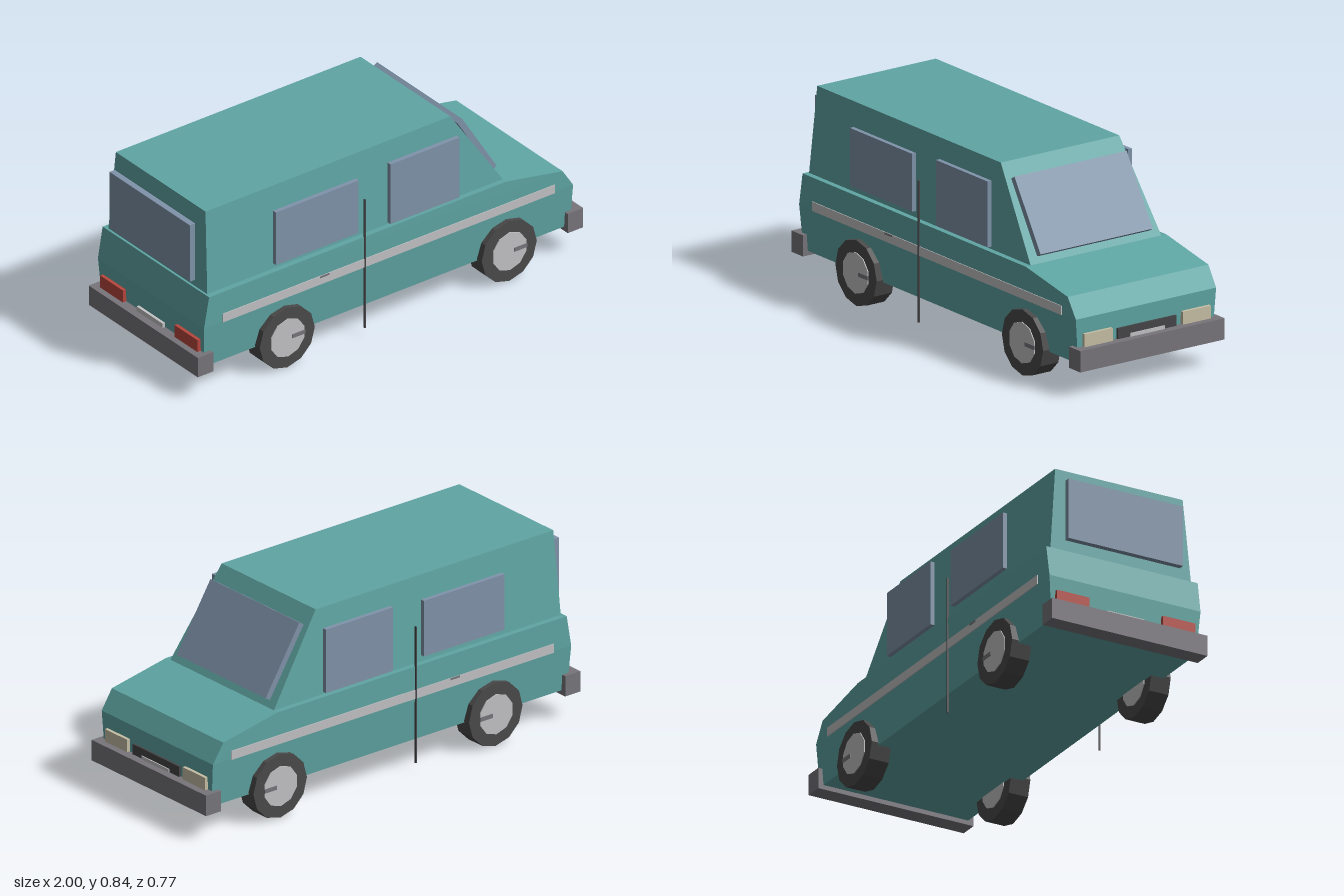
import * as THREE from 'three';
import { ConvexGeometry } from 'three/addons/geometries/ConvexGeometry.js';

const mat = (name, color) => {
  const m = new THREE.MeshStandardMaterial({ color, flatShading: true });
  m.name = name;
  return m;
};

export function createModel() {
  const van = new THREE.Group();
  van.name = 'van';
  const paint = mat('teal paint', 0x5fa6a4);
  const glass = mat('window glass', 0x8094aa);
  const bumperGrey = mat('bumper grey', 0x77757b);
  const rubber = mat('tyre rubber', 0x4a4a4a);
  const metal = mat('light metal', 0xc2c2c5);
  const lampCream = mat('headlight cream', 0xc6bfa6);
  const lampRed = mat('tail light red', 0xb8463e);
  const dark = mat('dark trim', 0x454548);

  const add = (name, geo, material, parent = van) => {
    const mesh = new THREE.Mesh(geo, material);
    mesh.name = name;
    parent.add(mesh);
    return mesh;
  };
  // Box given by its extents along each axis
  const box = (name, material, [x0, x1], [y0, y1], [z0, z1], parent) => {
    const b = add(name, new THREE.BoxGeometry(x1 - x0, y1 - y0, z1 - z0), material, parent);
    b.position.set((x0 + x1) / 2, (y0 + y1) / 2, (z0 + z1) / 2);
    return b;
  };
  // Convex shell from side profile points [x, y, half width]
  const shell = (name, profile) => add(name, new ConvexGeometry(
    profile.flatMap(([x, y, w]) => [new THREE.Vector3(x, y, w), new THREE.Vector3(x, y, -w)])), paint);

  // Bodywork
  shell('lowerBody', [
    [-0.95, 0.135, 0.345], [-0.96, 0.33, 0.36], [-0.935, 0.47, 0.361], [0.61, 0.47, 0.361],
    [0.9, 0.415, 0.361], [0.955, 0.33, 0.36], [0.95, 0.135, 0.345],
  ]);
  shell('cabin', [
    [-0.925, 0.46, 0.336], [-0.91, 0.845, 0.304], [0.36, 0.845, 0.304], [0.615, 0.46, 0.336],
  ]);

  // Windscreen and rear window
  const screen = add('windscreen', new THREE.BoxGeometry(0.027, 0.342, 0.576), glass);
  screen.position.set(0.512, 0.648, 0);
  screen.rotation.z = Math.atan2(0.18, 0.29);
  box('rearWindow', glass, [-0.967, -0.94], [0.515, 0.785], [-0.273, 0.273]);

  // Bumpers and number plates
  box('frontBumper', bumperGrey, [0.92, 1], [0.115, 0.207], [-0.37, 0.37]);
  box('rearBumper', bumperGrey, [-1, -0.92], [0.115, 0.207], [-0.37, 0.37]);
  box('grille', dark, [0.94, 0.963], [0.17, 0.253], [-0.15, 0.15]);
  box('frontPlate', metal, [0.955, 0.968], [0.17, 0.222], [-0.088, 0.088]);
  box('rearPlate', metal, [-0.968, -0.945], [0.17, 0.228], [-0.088, 0.088]);

  for (const s of [1, -1]) {
    const side = s > 0 ? 'left' : 'right';
    const span = (a, b) => (s > 0 ? [a, b] : [-b, -a]);

    // Side windows, waist stripe and door seam
    box(side + 'RearSideWindow', glass, [-0.595, -0.165], [0.507, 0.758], span(0.35, 0.37));
    box(side + 'FrontSideWindow', glass, [0, 0.358], [0.489, 0.775], span(0.35, 0.37));
    box(side + 'Stripe', metal, [-0.865, 0.858], [0.326, 0.366], span(0.356, 0.364));
    box(side + 'DoorSeam', dark, [-0.131, -0.125], [0.036, 0.65], span(0.358, 0.366));
    box(side + 'DoorHandle', bumperGrey, [-0.362, -0.312], [0.357, 0.366], span(0.358, 0.365));

    // Lamps
    box(side + 'Headlight', lampCream, [0.94, 0.968], [0.19, 0.263], span(0.18, 0.324));
    box(side + 'TailLight', lampRed, [-0.972, -0.945], [0.19, 0.264], span(0.175, 0.33));

    // Wheels with hub and spoke bar
    for (const [end, x] of [['Front', 0.61], ['Rear', -0.542]]) {
      const wheel = new THREE.Group();
      wheel.name = side + end + 'Wheel';
      wheel.position.set(x, 0.145, s * 0.332);
      van.add(wheel);
      add('tyre', new THREE.CylinderGeometry(0.143, 0.143, 0.092, 12), rubber, wheel).rotation.x = Math.PI / 2;
      add('hub', new THREE.CylinderGeometry(0.09, 0.09, 0.1, 10), metal, wheel).rotation.x = Math.PI / 2;
      box('hubBar', bumperGrey, [0.022, 0.088], [-0.009, 0.009], span(0.045, 0.053), wheel);
    }
  }
  return van;
}
